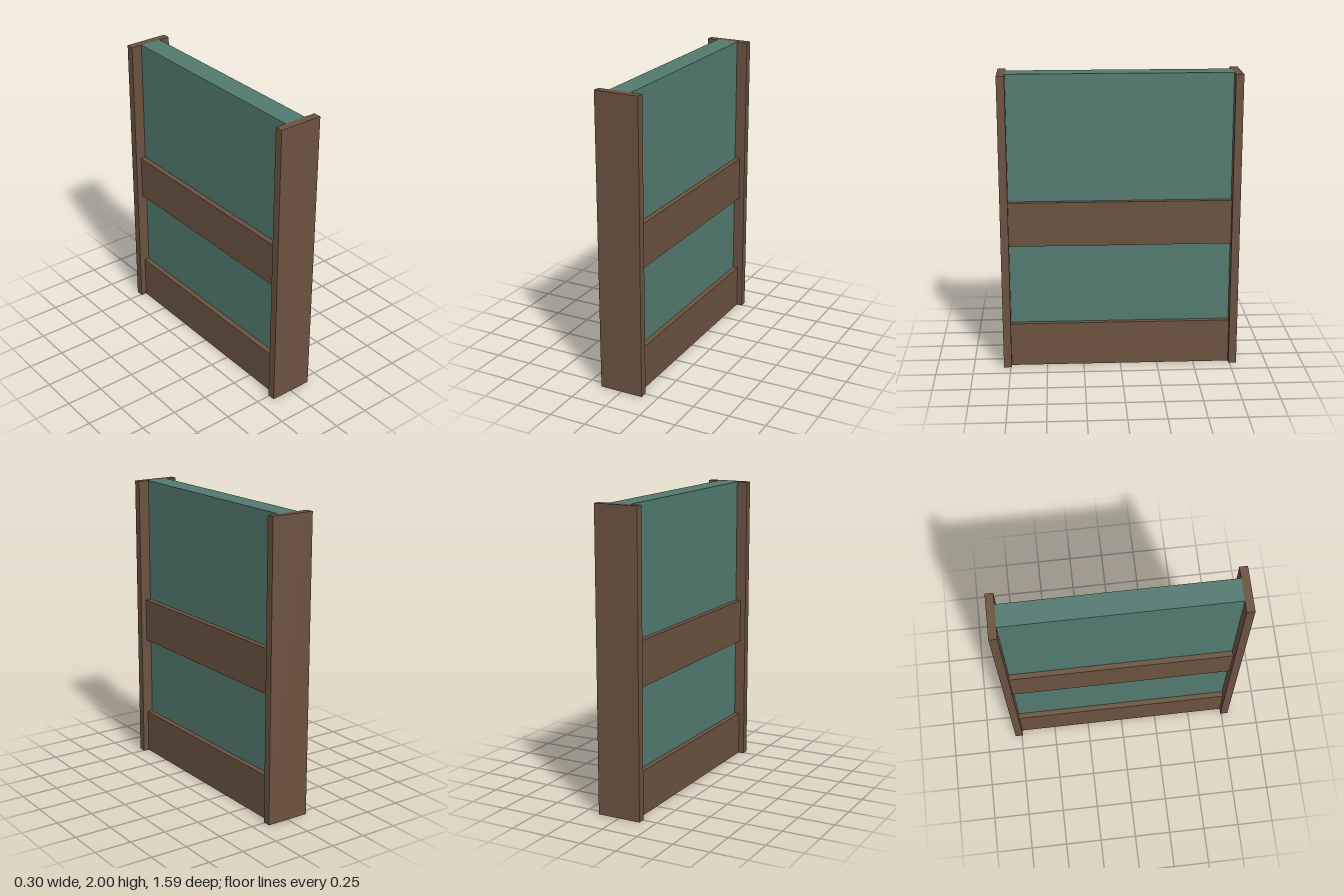
import * as THREE from 'three';

export function createModel() {
  const wood = new THREE.MeshStandardMaterial({ color: 0x6b5240 });
  wood.name = 'brown wood';
  const plaster = new THREE.MeshStandardMaterial({ color: 0x527a70 });
  plaster.name = 'green panel';

  const model = new THREE.Group();
  model.name = 'wallSection';

  // Box centred on x, spanning y0..y1 and z0..z1
  const addBox = (name, material, width, y0, y1, z0, z1) => {
    const mesh = new THREE.Mesh(new THREE.BoxGeometry(width, y1 - y0, z1 - z0), material);
    mesh.position.set(0, (y0 + y1) / 2, (z0 + z1) / 2);
    mesh.name = name;
    model.add(mesh);
  };

  const inner = 0.743, outer = 0.796;

  // End posts
  addBox('frontPost', wood, 0.3, 0, 2, inner, outer);
  addBox('backPost', wood, 0.3, 0, 2, -outer, -inner);

  // Rails between the posts
  addBox('bottomRail', wood, 0.222, 0, 0.3, -inner, inner);
  addBox('middleRail', wood, 0.222, 0.85, 1.15, -inner, inner);

  // Infill panels above each rail
  addBox('lowerPanel', plaster, 0.15, 0.3, 0.85, -inner, inner);
  addBox('upperPanel', plaster, 0.15, 1.15, 2, -inner, inner);

  return model;
}
